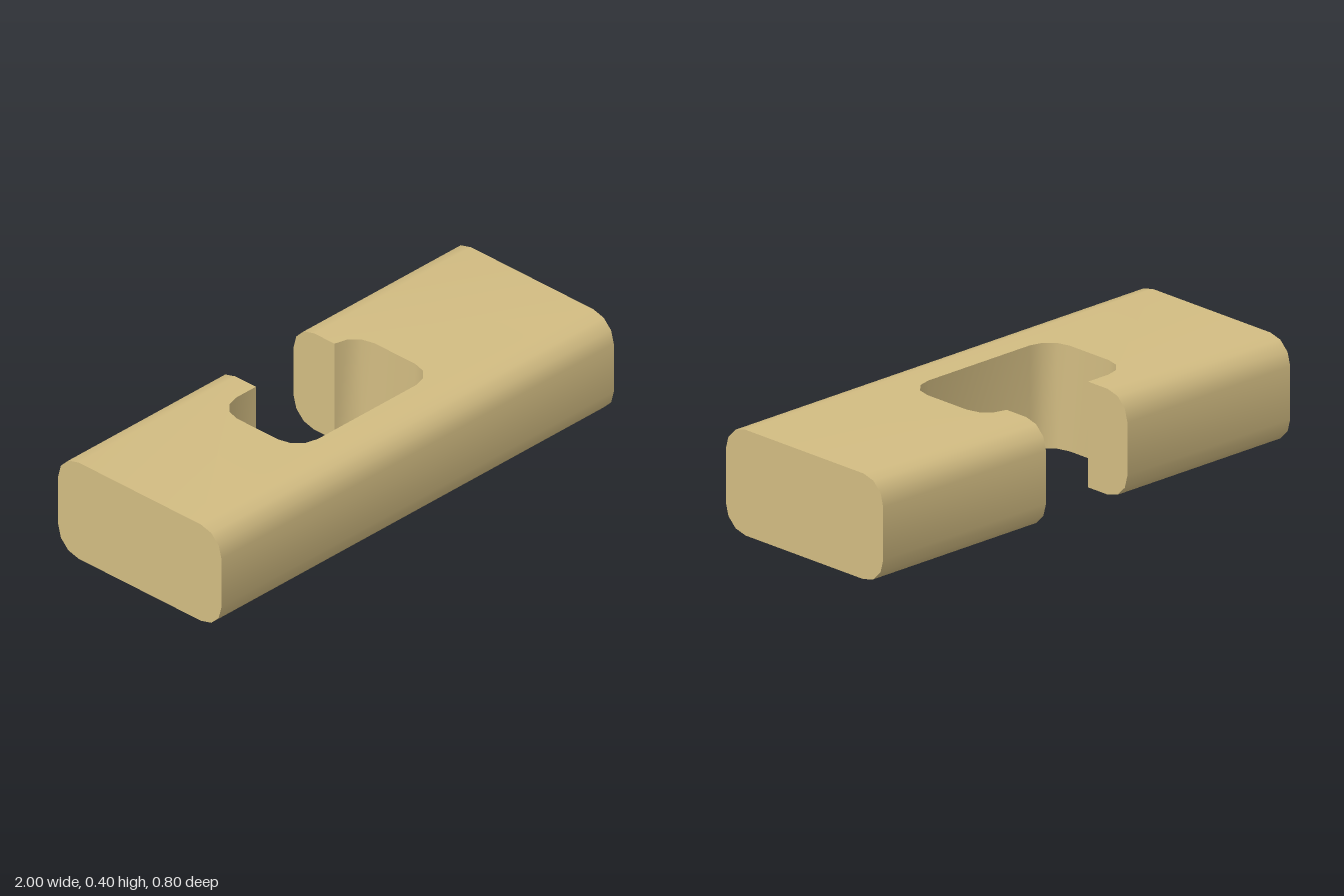
import * as THREE from 'three';
import { mergeGeometries, toCreasedNormals } from 'three/addons/utils/BufferGeometryUtils.js';

const H = 0.4, R = 0.1, STEPS = 3;

// Points of a quarter arc, from angle a0 to a1 in degrees
function arc(cx, cy, a0, a1) {
  return Array.from({ length: STEPS + 1 }, (_, i) => {
    const a = THREE.MathUtils.degToRad(a0 + (a1 - a0) * i / STEPS);
    return [cx + R * Math.cos(a), cy + R * Math.sin(a)];
  });
}

// Quads joining two polylines of equal length
function ribbon(a, b) {
  const pos = [];
  for (let i = 0; i < a.length - 1; i++) {
    pos.push(...a[i], ...b[i], ...a[i + 1], ...a[i + 1], ...b[i], ...b[i + 1]);
  }
  return new THREE.BufferGeometry().setAttribute('position', new THREE.Float32BufferAttribute(pos, 3));
}

function flat(points) {
  const shape = new THREE.Shape(points.map(([x, y]) => new THREE.Vector2(x, y)));
  const g = new THREE.ShapeGeometry(shape).toNonIndexed();
  g.deleteAttribute('uv');
  g.deleteAttribute('normal');
  return g;
}

// End face of (z, y) points at x, facing along dir
const endFace = (points, x, dir) =>
  flat(points.map(([z, y]) => [-dir * z, y])).rotateY(dir * Math.PI / 2).translate(x, 0, 0);

// Rounded long side of (z, y) points, running from x0 to x1
const side = (points, x0, x1) =>
  ribbon(points.map(([z, y]) => [x0, y, z]), points.map(([z, y]) => [x1, y, z]));

export function createModel() {
  const group = new THREE.Group();
  group.name = 'slottedBar';

  // Rounded edge profiles as (z, y), bottom to top
  const front = [...arc(0.3, R, -90, 0), ...arc(0.3, H - R, 0, 90)];
  const back = front.map(([z, y]) => [-z, y]);
  const section = [...front, ...back.slice().reverse()];

  // Pocket outline as (x, z), entering and leaving through the back slot
  const corners = [[-0.3, -0.1], [-0.3, 0.1], [0.2, 0.1], [0.2, -0.1]];
  const pocket = [
    [-0.2, -0.3], [-0.2, -0.2],
    ...corners.flatMap(([x, z], k) => arc(x, z, -90 - 90 * k, -180 - 90 * k)),
    [0.2, -0.3],
  ];
  const plan = [[-1, -0.3], ...pocket, [1, -0.3], [1, 0.3], [-1, 0.3]];

  const parts = [
    // Top and bottom
    flat(plan.map(([x, z]) => [x, -z])).rotateX(-Math.PI / 2).translate(0, H, 0),
    flat(plan).rotateX(Math.PI / 2),
    // Pocket walls
    ribbon(pocket.map(([x, z]) => [x, 0, z]), pocket.map(([x, z]) => [x, H, z])),
    // Long sides, the back one split by the slot
    side(front, -1, 1),
    side(back, -0.2, -1),
    side(back, 1, 0.2),
    // Ends of the bar and of the slot
    endFace(section, 1, 1),
    endFace(section, -1, -1),
    endFace(back, -0.2, 1),
    endFace(back, 0.2, -1),
  ];

  const material = new THREE.MeshStandardMaterial({ color: 0xd2bc82 });
  const bar = new THREE.Mesh(toCreasedNormals(mergeGeometries(parts), 0.6), material);
  bar.name = 'bar';
  group.add(bar);
  return group;
}
